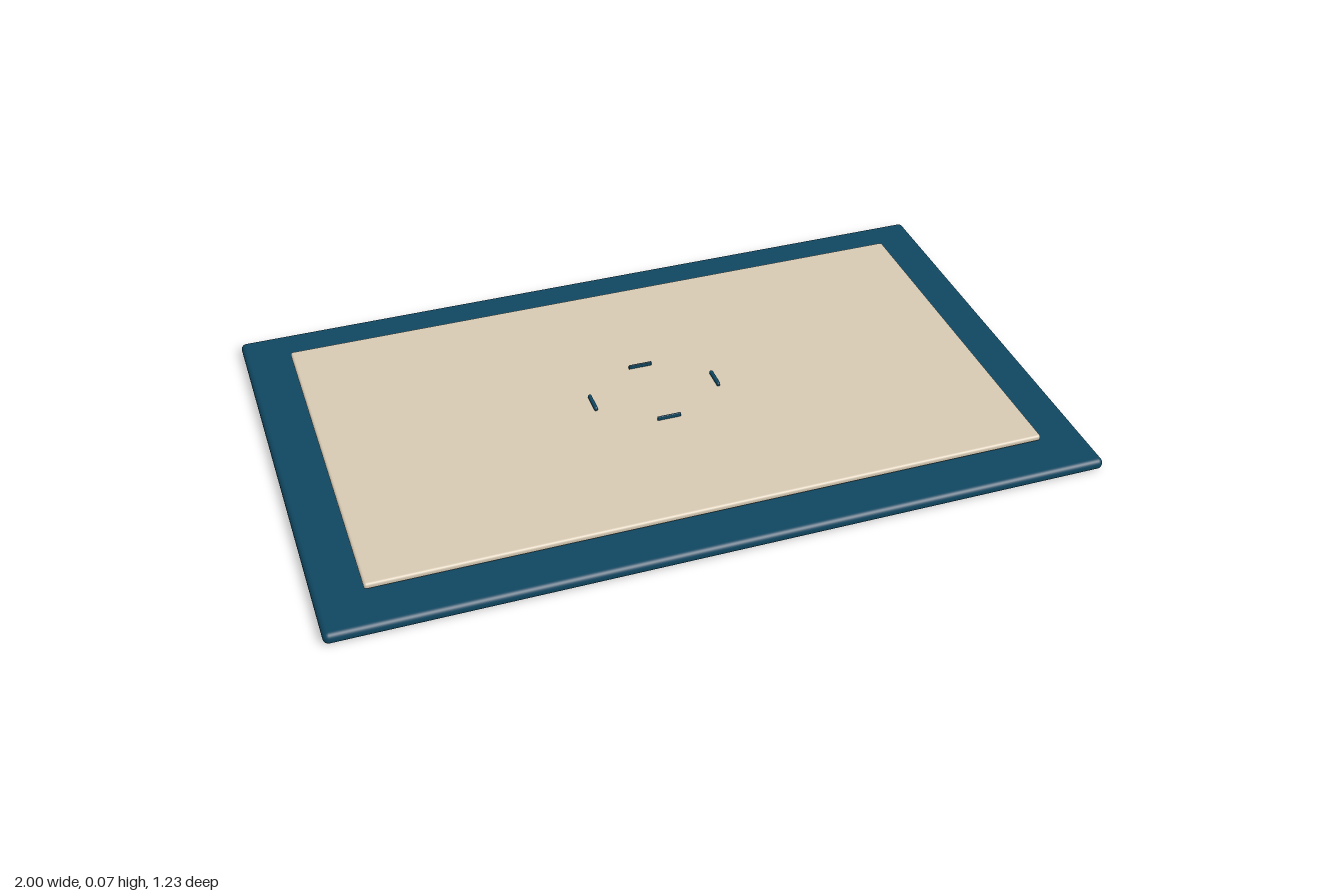
import * as THREE from 'three';
import { RoundedBoxGeometry } from 'three/addons/geometries/RoundedBoxGeometry.js';

export function createModel() {
  const model = new THREE.Group();
  model.name = 'framedPanel';

  const navy = new THREE.MeshStandardMaterial({ color: 0x0f4761 });
  navy.name = 'navy';
  const sand = new THREE.MeshStandardMaterial({ color: 0xd6c9b3 });
  sand.name = 'sand';

  // Rounded slab spanning bottom..top in y
  function slab(name, material, width, depth, bottom, top, radius, x = 0, z = 0) {
    const geometry = new RoundedBoxGeometry(width, top - bottom, depth, 4, radius);
    const mesh = new THREE.Mesh(geometry, material);
    mesh.name = name;
    mesh.position.set(x, (bottom + top) / 2, z);
    model.add(mesh);
  }

  // Backing board and the raised panel hovering just above it
  slab('base', navy, 2, 1.226, 0, 0.031, 0.014);
  slab('panel', sand, 1.76, 0.99, 0.036, 0.053, 0.007);

  // Four short dashes around the centre
  for (const side of [-1, 1]) {
    slab(side < 0 ? 'rightMark' : 'leftMark', navy, 0.01, 0.064, 0.054, 0.066, 0.0045, side * 0.17, 0);
    slab(side < 0 ? 'backMark' : 'frontMark', navy, 0.064, 0.005, 0.054, 0.066, 0.0022, 0, side * 0.12);
  }

  return model;
}
